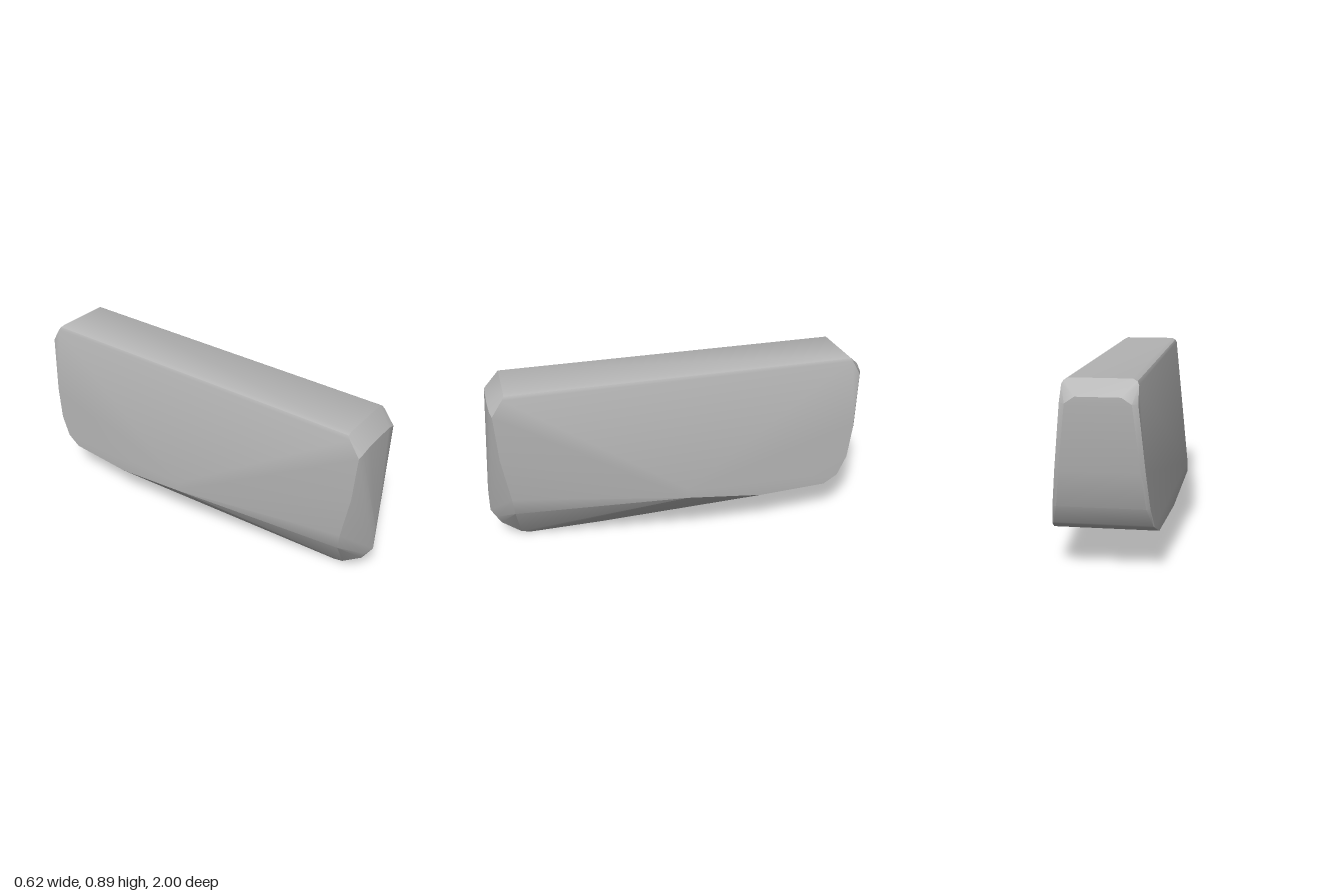
import * as THREE from 'three';
import { ConvexGeometry } from 'three/addons/geometries/ConvexGeometry.js';
import { toCreasedNormals } from 'three/addons/utils/BufferGeometryUtils.js';

// Corners on the +x half; each is mirrored to the other side
const topRim = [
  [0.14, 0.9, 0.88], [0.14, 0.9, -0.92],
  [0.16, 0.89, 0.88], [0.16, 0.89, -0.93],
  [0.168, 0.875, 0.89], [0.168, 0.875, -0.94],
];
const frontEdge = [
  [0.09, 0.83, 0.96], [0.15, 0.81, 0.955], [0.168, 0.79, 0.945],
  [0.168, 0.55, 0.93], [0.166, 0.31, 0.89], [0.155, 0.22, 0.88],
];
const sideRidge = [
  [0.31, 0.32, 0], [0.31, 0.268, 0], [0.275, 0.197, -0.42], [0.243, 0.19, -0.8],
];
const rearEdge = [
  [0.232, 0.23, -0.88], [0.218, 0.33, -0.935], [0.2, 0.5, -0.965], [0.17, 0.8, -0.985],
  [0.225, 0.24, -0.89], [0.2, 0.33, -0.942], [0.18, 0.5, -0.977], [0.145, 0.8, -1],
  [0.1, 0.83, -1],
];
const keel = [
  [0, 0.3, 1], [0, 0.17, 1], [0.03, 0.14, 0.97], [0.012, 0.09, 0.95],
  [0.02, 0.02, 0.85], [0.015, 0.005, 0.8], [0.015, 0.005, 0.42],
];

export function createModel() {
  const group = new THREE.Group();
  const grey = new THREE.MeshStandardMaterial({ color: 0xb4b4b4 });
  grey.name = 'plain grey';

  const points = [];
  for (const [x, y, z] of [...topRim, ...frontEdge, ...sideRidge, ...rearEdge, ...keel]) {
    points.push(new THREE.Vector3(x, y, z));
    if (x > 0) points.push(new THREE.Vector3(-x, y, z));
  }

  // Wedge-bottomed faceted hull with softened edges
  const hull = new THREE.Mesh(toCreasedNormals(new ConvexGeometry(points), 0.5), grey);
  hull.name = 'hull';
  hull.position.y = -0.005;
  group.add(hull);
  return group;
}
